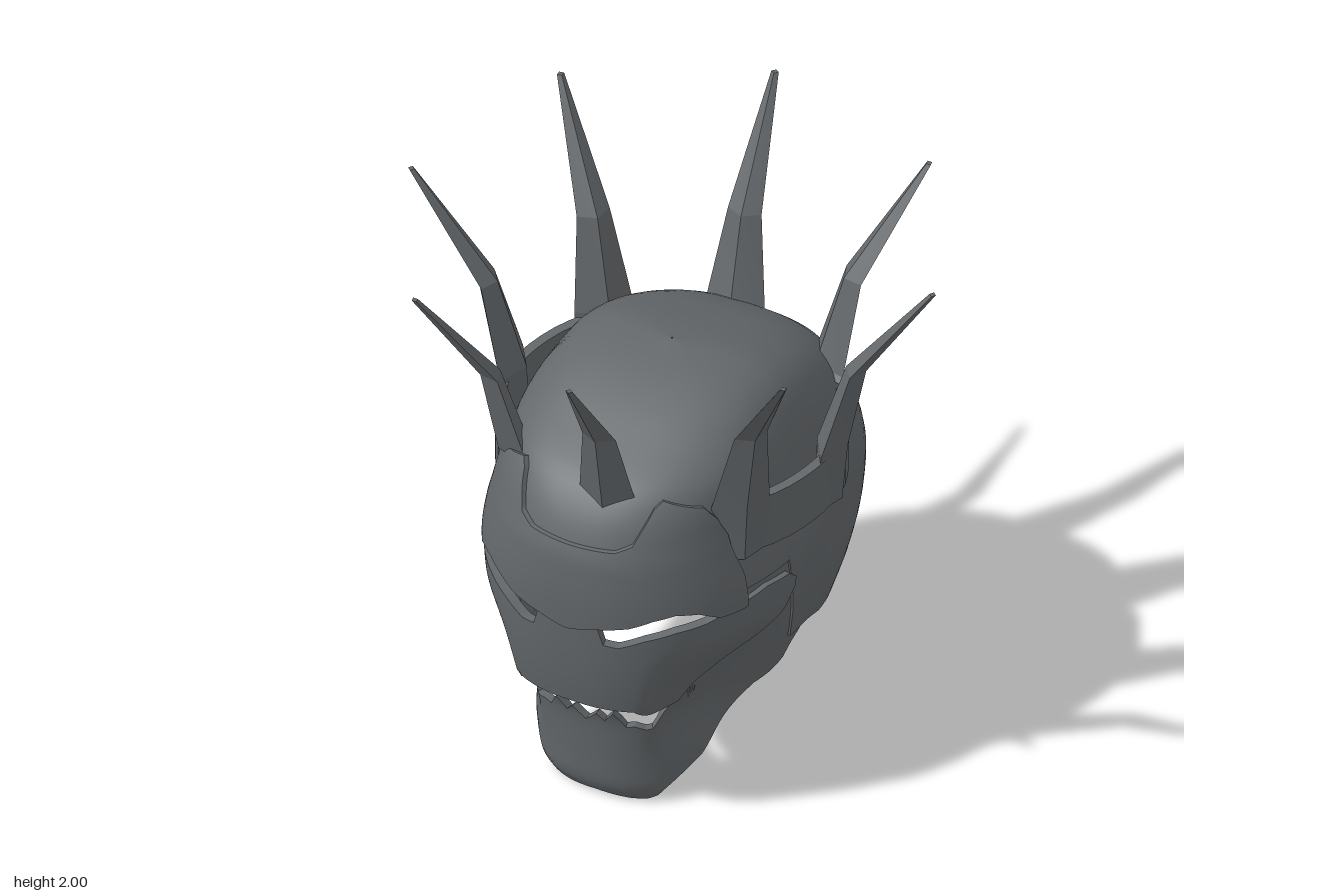
import * as THREE from 'three';
import { toCreasedNormals } from 'three/addons/utils/BufferGeometryUtils.js';

const { clamp, smoothstep, degToRad } = THREE.MathUtils;
const iron = new THREE.MeshStandardMaterial({ color: 0x64686b, side: THREE.DoubleSide });
iron.name = 'dark iron';

// Straight interpolation through [t, value] pairs, for plate edges
function edge(pts) {
  return (t) => {
    let i = 0;
    while (i < pts.length - 2 && t > pts[i + 1][0]) i++;
    const [a, va] = pts[i], [b, vb] = pts[i + 1];
    return va + (vb - va) * clamp((t - a) / (b - a), 0, 1);
  };
}

// Smooth interpolation without overshoot, for the head's profiles
function profile(pts) {
  const d = pts.slice(1).map((p, i) => (p[1] - pts[i][1]) / (p[0] - pts[i][0]));
  const m = pts.map((p, i) => {
    if (i === 0) return d[0];
    if (i === d.length) return d[i - 1];
    return d[i - 1] * d[i] > 0 ? 2 * d[i - 1] * d[i] / (d[i - 1] + d[i]) : 0;
  });
  return (t) => {
    let i = 0;
    while (i < pts.length - 2 && t > pts[i + 1][0]) i++;
    const h = pts[i + 1][0] - pts[i][0];
    const s = clamp((t - pts[i][0]) / h, 0, 1), r = 1 - s;
    return pts[i][1] * (1 + 2 * s) * r * r + m[i] * h * s * r * r
      + pts[i + 1][1] * s * s * (3 - 2 * s) - m[i + 1] * h * s * s * r;
  };
}

// Half width, front depth and back depth of the head at each height
const halfWidth = profile([[0, 0.385], [0.1, 0.385], [0.2, 0.395], [0.4, 0.455], [0.6, 0.51], [0.75, 0.535], [0.9, 0.545],
  [1.0, 0.53], [1.1, 0.505], [1.25, 0.475], [1.35, 0.445], [1.44, 0.395], [1.5, 0.325], [1.535, 0.21], [1.556, 0.004]]);
const frontDepth = profile([[0, 0.54], [0.07, 0.585], [0.2, 0.6], [0.36, 0.62], [0.43, 0.645], [0.5, 0.7], [0.8, 0.735],
  [0.95, 0.74], [1.1, 0.73], [1.2, 0.695], [1.33, 0.6], [1.44, 0.4], [1.5, 0.26], [1.535, 0.14], [1.556, 0.004]]);
const backDepth = profile([[0.4, 0.61], [0.5, 0.65], [0.6, 0.69], [0.78, 0.735], [0.95, 0.745], [1.15, 0.685],
  [1.27, 0.61], [1.4, 0.43], [1.48, 0.25], [1.53, 0.11], [1.556, 0.004]]);

// Point on the head: angle in degrees from the front towards +x
function headPoint(deg, y, off) {
  const a = degToRad(deg), s = Math.sin(a), c = Math.cos(a), side = Math.abs(deg);
  // Dented temples, and cheeks drawn in towards the mouth
  const temple = 0.025 * Math.exp(-(((side - 103) / 10) ** 2) - ((y - 0.86) / 0.15) ** 2);
  const cheek = 0.18 * smoothstep(side, 22, 42) * (1 - smoothstep(side, 58, 86))
    * smoothstep(y, 0.15, 0.4) * (1 - smoothstep(y, 0.5, 0.8));
  const w = Math.max(0.003, halfWidth(y) * (1 - cheek) + off - temple);
  const d = Math.max(0.003, (c > 0 ? frontDepth(y) : backDepth(y)) + off);
  const lift = off * clamp((y - 1.2) / 0.3, 0, 1);
  // The back and the crown of the head are boxier than the face
  const power = c > 0 ? 0.86 - 0.08 * smoothstep(y, 1.15, 1.35) : 0.72 + 0.04 * smoothstep(y, 1.1, 1.4);
  return new THREE.Vector3(w * Math.sign(s) * Math.abs(s) ** power, y + lift,
    d * Math.sign(c) * Math.abs(c) ** power);
}

// Skin a row of closed cross-sections and cap both ends
function skin(sections) {
  const pos = [], n = sections[0].length, last = sections.length - 1;
  const quad = (a, b, c, d) => [a, b, c, a, c, d].forEach((p) => pos.push(p.x, p.y, p.z));
  for (let i = 0; i < last; i++) {
    const p = sections[i], q = sections[i + 1];
    for (let j = 0; j < n; j++) {
      const k = (j + 1) % n;
      quad(p[j], q[j], q[k], p[k]);
    }
  }
  const p = sections[0], q = sections[last];
  for (let j = 0; j < n / 2 - 1; j++) {
    quad(p[j], p[j + 1], p[n - 2 - j], p[n - 1 - j]);
    quad(q[j], q[n - 1 - j], q[n - 2 - j], q[j + 1]);
  }
  const g = new THREE.BufferGeometry();
  g.setAttribute('position', new THREE.Float32BufferAttribute(pos, 3));
  return g;
}

function part(name, geometry, crease) {
  const mesh = new THREE.Mesh(toCreasedNormals(geometry, crease), iron);
  mesh.name = name;
  return mesh;
}

// Thick curved plate between a lower and an upper edge
function plate(name, reach, low, high, off, thick, step = 1, rows = 18) {
  const sections = [];
  for (let a = -reach; a <= reach; a += step) {
    const lo = low(Math.abs(a)), hi = Math.max(high(Math.abs(a)), lo + 0.005);
    const outer = [], inner = [];
    for (let j = 0; j <= rows; j++) {
      const y = lo + (hi - lo) * Math.sin(j / rows * Math.PI / 2);
      outer.push(headPoint(a, y, off));
      inner.unshift(headPoint(a, y, off - thick));
    }
    sections.push([...outer, ...inner]);
  }
  return part(name, skin(sections), 0.7);
}

// Crown spike: diamond section, rising and then bending outward
function spike(bottom) {
  const levels = [[bottom, 0.56, 0.112, 0.05], [1.28, 0.575, 0.105, 0.055], [1.61, 0.66, 0.06, 0.036], [2, 0.934, 0.013, 0.011]];
  const sections = levels.map(([y, r, w, d]) => [
    new THREE.Vector3(0, y, r + d), new THREE.Vector3(-w, y, r),
    new THREE.Vector3(0, y, r - d), new THREE.Vector3(w, y, r)]);
  return part('crownSpike', skin(sections), 0.2);
}

// Crown band along one side
function band() {
  const curve = new THREE.CatmullRomCurve3([[0.4, 0.43], [0.53, 0.24], [0.585, 0.05], [0.585, -0.12], [0.53, -0.26], [0.46, -0.37]]
    .map(([x, z]) => new THREE.Vector3(x, 0, z)));
  const sections = curve.getPoints(16).reverse().map((p) => {
    const inner = p.clone().multiplyScalar(0.94);
    return [[inner, 1.26], [inner, 1.05], [p, 1.05], [p, 1.26]]
      .map(([v, y]) => new THREE.Vector3(v.x, y, v.z));
  });
  return part('crownBand', skin(sections), 0.5);
}

export function createModel() {
  const model = new THREE.Group();
  model.name = 'crownedSkullHelmet';

  model.add(plate('cranium', 180,
    edge([[0, 1.0], [50, 1.0], [60, 0.93], [80, 0.92], [86, 0.52], [92, 0.5], [100, 0.45], [108, 0.43], [118, 0.45],
      [132, 0.52], [155, 0.58], [180, 0.6]]),
    () => 1.556, -0.005, 0.035, 2, 30));

  // Brow plate, stepped around the middle of the forehead
  model.add(plate('browPlate', 62,
    edge([[0, 0.84], [8, 0.865], [20, 0.89], [28, 0.92], [36, 0.935], [44, 0.92], [52, 0.875], [58, 0.87], [62, 0.87]]),
    edge([[0, 1.17], [15, 1.175], [21, 1.2], [26, 1.31], [29, 1.33], [48, 1.29], [54, 1.24], [58, 1.17], [62, 1.0]]),
    0.012, 0.03));

  // Nose and cheekbones below the eye slits
  model.add(plate('faceMask', 82,
    edge([[0, 0.505], [22, 0.5], [26, 0.47], [40, 0.46], [46, 0.48], [52, 0.56], [65, 0.66], [78, 0.73], [82, 0.8]]),
    edge([[0, 0.87], [9, 0.87], [11, 0.8], [16, 0.795], [25, 0.83], [36, 0.855], [47, 0.865], [56, 0.885], [70, 0.9],
      [79, 0.88], [82, 0.84]]),
    0.006, 0.035));

  // Jaw with its teeth and the side panels that carry it
  model.add(plate('jaw', 94,
    edge([[0, 0.02], [15, 0.005], [24, 0.005], [30, 0.025], [36, 0.065], [45, 0.115], [54, 0.165], [66, 0.27], [77, 0.36],
      [88, 0.39], [91, 0.47], [94, 0.56]]),
    edge([[0, 0.36], [4, 0.405], [7, 0.375], [11, 0.425], [16, 0.36], [20, 0.365], [25, 0.35], [29, 0.35], [34, 0.385],
      [46, 0.46], [50, 0.53], [56, 0.72], [62, 0.92], [80, 0.95], [94, 0.95]]),
    -0.014, 0.03));

  // Eight spikes in a ring; those on the bands reach lower
  const crown = new THREE.Group();
  crown.name = 'crown';
  for (let i = 0; i < 8; i++) {
    const s = spike([1, 2, 5, 6].includes(i) ? 1.05 : 1.26);
    s.rotation.y = degToRad(6.7 + i * 45);
    crown.add(s);
  }
  for (const turn of [0, Math.PI]) {
    const b = band();
    b.rotation.y = turn;
    crown.add(b);
  }
  model.add(crown);
  return model;
}
